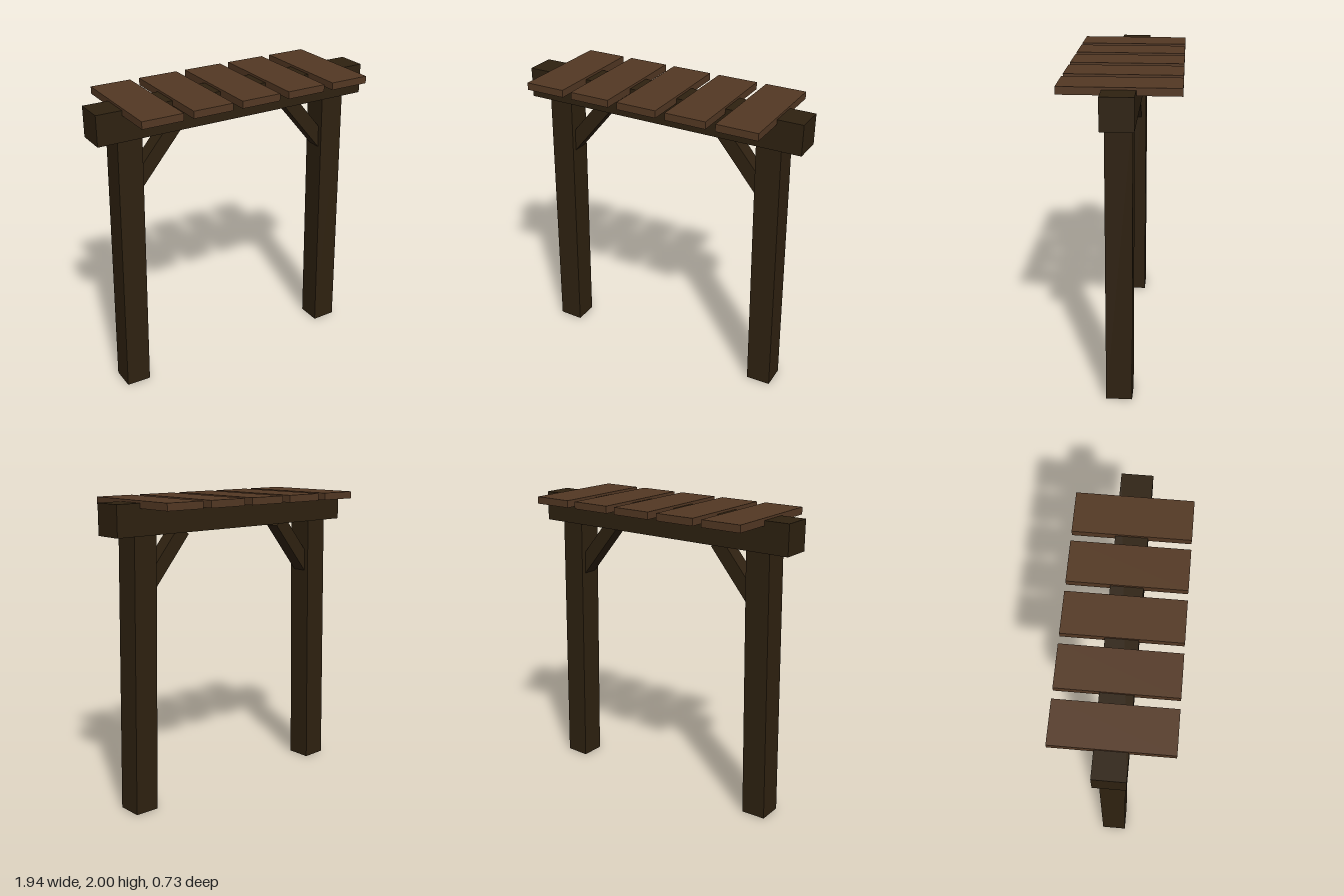
import * as THREE from 'three';

export function createModel() {
  const model = new THREE.Group();
  const darkWood = new THREE.MeshStandardMaterial({ color: 0x2e2110 });
  darkWood.name = 'darkWood';
  const plankWood = new THREE.MeshStandardMaterial({ color: 0x533823 });
  plankWood.name = 'plankWood';

  function addBox(name, size, position, material, tilt = 0) {
    const mesh = new THREE.Mesh(new THREE.BoxGeometry(...size), material);
    mesh.name = name;
    mesh.position.set(...position);
    mesh.rotation.z = tilt;
    model.add(mesh);
  }

  // Crossbeam
  addBox('crossbeam', [1.94, 0.198, 0.198], [0, 1.886, 0], darkWood);

  // Leaning posts and diagonal braces, mirrored
  for (const [side, s] of [['left', 1], ['right', -1]]) {
    addBox(side + 'Post', [0.165, 1.88, 0.165], [s * 0.771, 0.9415, 0], darkWood, s * 0.02);
    addBox(side + 'Brace', [0.52, 0.095, 0.1], [s * 0.597, 1.599, 0], darkWood, -s * 0.873);
  }

  // Roof planks let into the top of the beam
  for (let i = 0; i < 5; i++) {
    addBox('roofPlank' + (i + 1), [0.27, 0.047, 0.725], [(i - 2) * 0.3335, 1.9765, 0], plankWood);
  }

  return model;
}
